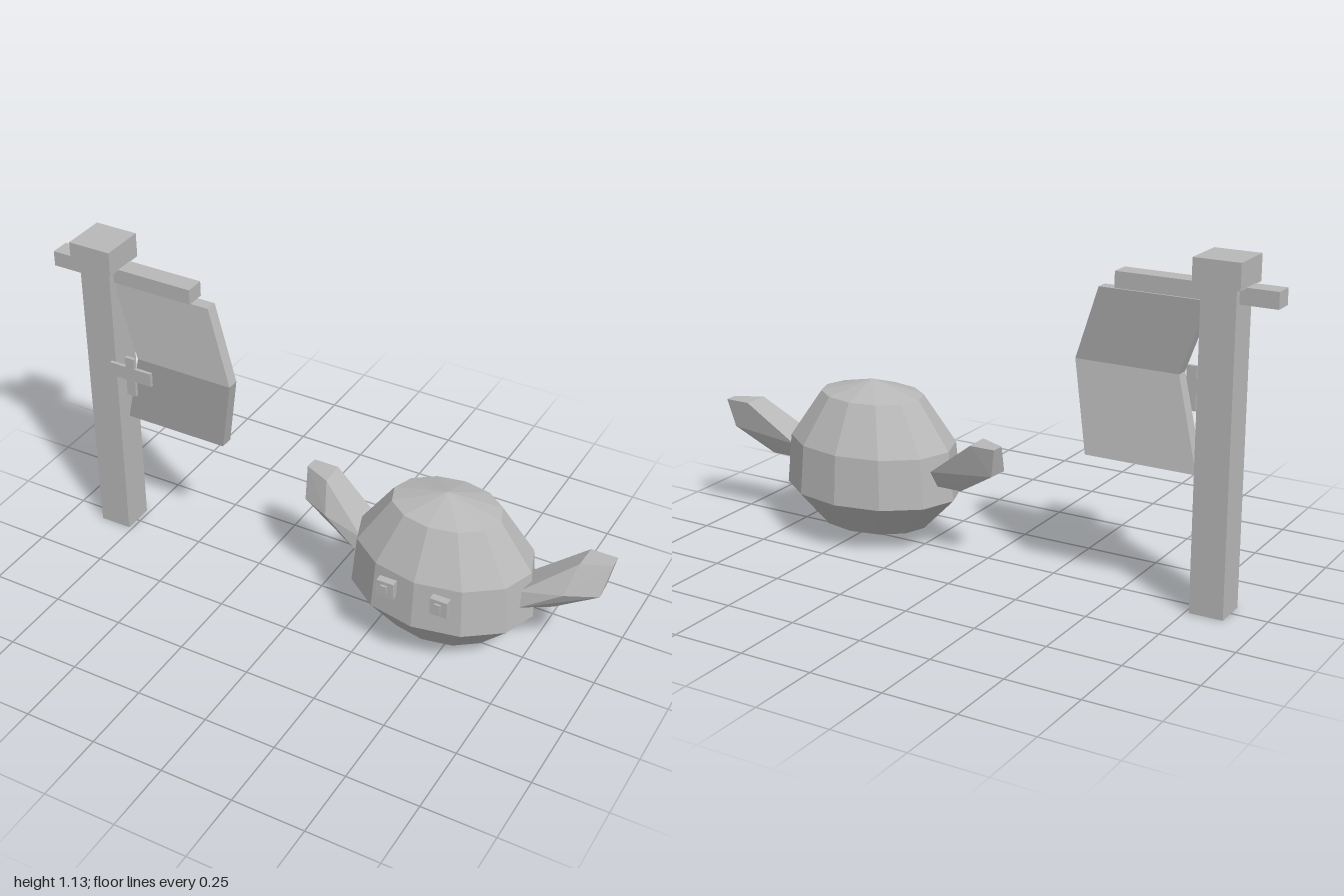
import * as THREE from 'three';
import { ConvexGeometry } from 'three/addons/geometries/ConvexGeometry.js';

export function createModel() {
  const model = new THREE.Group();
  model.name = 'creatureAndBanner';
  const grey = new THREE.MeshStandardMaterial({ color: 0xb8b8b8, flatShading: true });
  grey.name = 'plainGrey';

  function add(name, geometry, parent) {
    const mesh = new THREE.Mesh(geometry, grey);
    mesh.name = name;
    parent.add(mesh);
    return mesh;
  }
  // Box given by its limits on each axis
  function block(name, [x0, x1], [y0, y1], [z0, z1], parent) {
    const mesh = add(name, new THREE.BoxGeometry(x1 - x0, y1 - y0, z1 - z0), parent);
    mesh.position.set((x0 + x1) / 2, (y0 + y1) / 2, (z0 + z1) / 2);
  }

  // Banner stand: post, cap and crossbar
  const banner = new THREE.Group();
  banner.name = 'banner';
  model.add(banner);
  block('post', [-0.877, -0.763], [0, 1.05], [-0.063, 0.051], banner);
  block('postCap', [-0.897, -0.743], [1.045, 1.13], [-0.084, 0.072], banner);
  block('crossbar', [-1, -0.47], [0.995, 1.048], [-0.04, 0.027], banner);

  // Cloth: a box with a middle row, each row slid sideways and in depth
  const rows = [
    { y: 0.45, x: [-0.765, -0.385], z: [-0.052, -0.005] },
    { y: 0.74, x: [-0.672, -0.315], z: [0.007, 0.05] },
    { y: 0.99, x: [-0.775, -0.41], z: [-0.028, 0.014] },
  ];
  const cloth = new THREE.BoxGeometry(1, 2, 1, 1, 2, 1);
  const pos = cloth.attributes.position;
  for (let i = 0; i < pos.count; i++) {
    const row = rows[Math.round(pos.getY(i)) + 1];
    pos.setXYZ(i, row.x[pos.getX(i) > 0 ? 1 : 0], row.y, row.z[pos.getZ(i) > 0 ? 1 : 0]);
  }
  cloth.computeVertexNormals();
  add('cloth', cloth, banner);

  // Cross emblem in front of the cloth
  const emblemDepth = [0.069, 0.081];
  block('emblemUpright', [-0.702, -0.668], [0.61, 0.755], emblemDepth, banner);
  block('emblemArmRight', [-0.765, -0.702], [0.668, 0.717], emblemDepth, banner);
  block('emblemArmLeft', [-0.668, -0.605], [0.668, 0.717], emblemDepth, banner);

  // Head: twelve-sided lathe, flattened front to back
  const head = new THREE.Group();
  head.name = 'head';
  head.position.x = 0.451;
  model.add(head);
  const profile = [[0, 0.06], [0.202, 0.06], [0.32, 0.18], [0.303, 0.35], [0.187, 0.512], [0, 0.56]];
  const skull = add('skull', new THREE.LatheGeometry(
    profile.map(([r, y]) => new THREE.Vector2(r, y)), 12), head);
  skull.scale.z = 0.74;
  skull.position.z = -0.007;

  // Ears: faceted wedges, each rising out and back to a flat tip
  const earPoints = [
    [0.449, 0.43, -0.027], [0.544, 0.43, -0.07], [0.542, 0.43, -0.115], [0.452, 0.43, -0.115],
    [0.424, 0.33, 0.026], [0.527, 0.33, -0.024], [0.522, 0.33, -0.098],
    [0.29, 0.245, 0.049], [0.384, 0.245, -0.008], [0.384, 0.245, -0.063], [0.29, 0.245, -0.063],
    [0.28, 0.3, 0.04], [0.28, 0.3, -0.085],
  ];
  for (const [side, s] of [['left', 1], ['right', -1]]) {
    add(side + 'Ear', new ConvexGeometry(
      earPoints.map(([x, y, z]) => new THREE.Vector3(s * x, y, z))), head);

    // Eyes: square block with a small pupil plate just in front
    const c = s * 0.094;
    block(side + 'Eye', [c - 0.03, c + 0.03], [0.265, 0.326], [0.207, 0.233], head);
    block(side + 'Pupil', [c - 0.011, c + 0.011], [0.288, 0.318], [0.238, 0.245], head);
  }
  return model;
}
